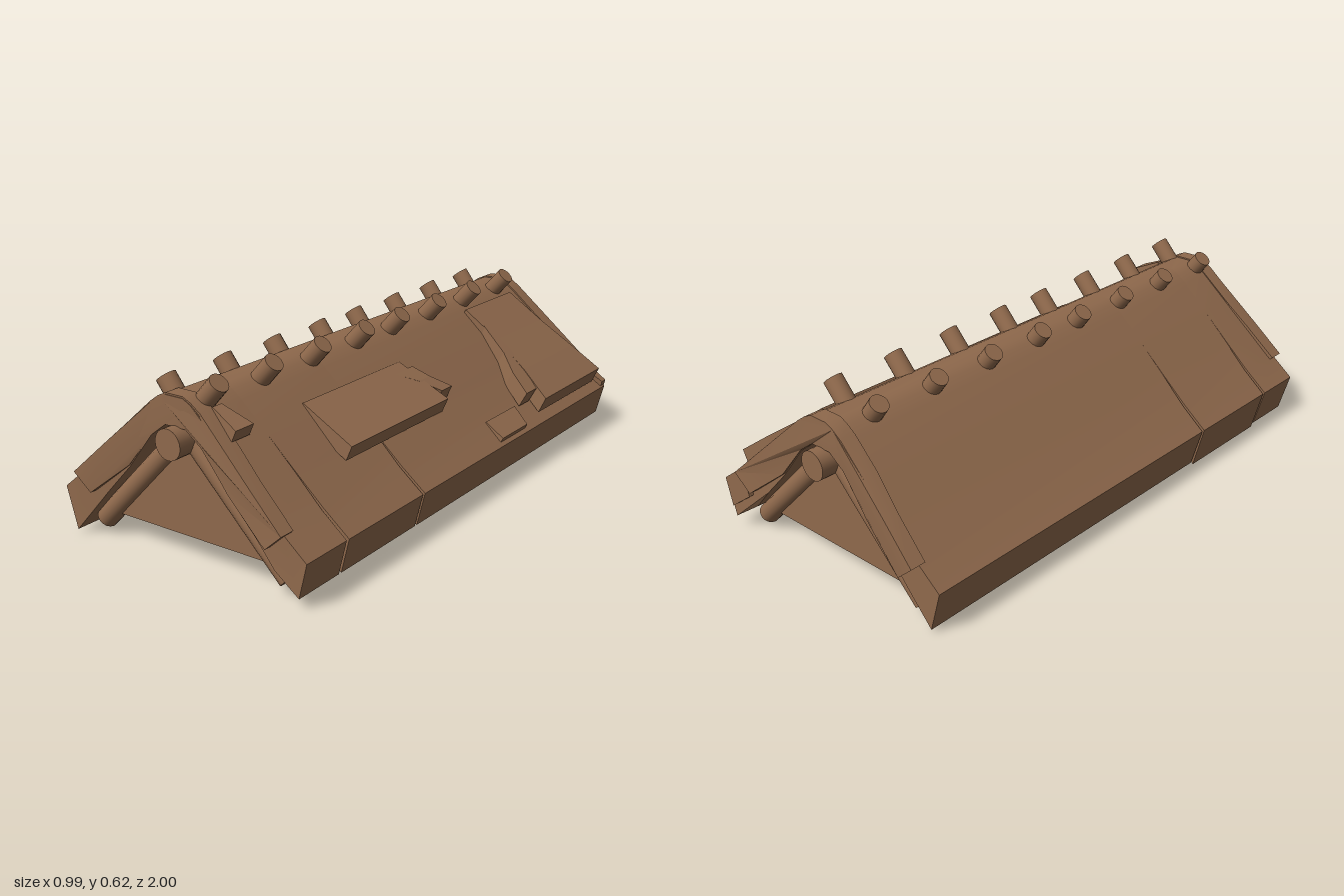
import * as THREE from 'three';
import { toCreasedNormals } from 'three/addons/utils/BufferGeometryUtils.js';

const wood = new THREE.MeshStandardMaterial({ color: 0x8f694c });
wood.name = 'brown wood';

export function createModel() {
  const group = new THREE.Group();
  group.name = 'woodenRoof';

  const add = (name, geometry) => {
    const mesh = new THREE.Mesh(geometry, wood);
    mesh.name = name;
    group.add(mesh);
    return mesh;
  };

  // Round bar between two points
  const bar = (name, a, b, radius, sides = 16) => {
    const start = new THREE.Vector3(...a), end = new THREE.Vector3(...b);
    const dir = end.clone().sub(start);
    const mesh = add(name, toCreasedNormals(
      new THREE.CylinderGeometry(radius, radius, dir.length(), sides), 0.7));
    mesh.position.copy(start).add(end).multiplyScalar(0.5);
    mesh.quaternion.setFromUnitVectors(new THREE.Vector3(0, 1, 0), dir.normalize());
  };

  // Outline in x/y pushed along z; warp(x, z, t) bends its two ends
  const slab = (name, points, z0, z1, warp) => {
    const shape = new THREE.Shape(points.map(p => new THREE.Vector2(...p)));
    const geo = new THREE.ExtrudeGeometry(shape, { depth: z1 - z0, bevelEnabled: false });
    geo.translate(0, 0, z0);
    const pos = geo.attributes.position;
    for (let i = 0; warp && i < pos.count; i++) {
      const z = pos.getZ(i);
      pos.setZ(i, warp(pos.getX(i), z, z > (z0 + z1) / 2));
    }
    add(name, toCreasedNormals(geo, 0.5));
  };

  // Roof shell in three lengths, with the joints opening towards the eaves
  const outer = [[0.40, 0.228], [0.30, 0.322], [0.2, 0.415], [0.1, 0.508], [0.065, 0.535], [0.035, 0.55]];
  const inner = [[0.04, 0.455], [0.1, 0.41], [0.2, 0.285], [0.3, 0.18], [0.37, 0.1]];
  const flip = list => list.map(([x, y]) => [-x, y]);
  const roofProfile = low => [
    [0.46, 0.038], [0.49, 0.155], ...outer,
    ...flip(outer).reverse(), [-0.49, 0.155], [-0.45, low],
    ...flip(inner).reverse(), ...inner,
  ];
  const cuts = [-0.96, 0.37, 0.78, 0.965];
  for (let i = 0; i < 3; i++) {
    slab('roofShell', roofProfile(i === 1 ? 0 : 0.012), cuts[i], cuts[i + 1], (x, z, far) => {
      const open = THREE.MathUtils.smoothstep(Math.abs(x), 0.25, 0.45);
      if (i === 0 && !far) return z - (x > 0.42 ? 0.025 : 0);
      if (i === 2 && far) return z + 0.01 * open;
      return z + (far ? -1 : 1) * 0.006 * open;
    });
  }

  // Arched end boards, flaring outward at their lower corners
  const boardOuter = [[0.42, 0.228], [0.3, 0.336], [0.2, 0.427], [0.1, 0.516], [0.065, 0.541], [0.035, 0.555]];
  const boardInner = [[0.04, 0.457], [0.1, 0.413], [0.2, 0.29], [0.355, 0.17]];
  const boardProfile = [...boardOuter, ...flip(boardOuter).reverse(),
    ...flip(boardInner).reverse(), ...boardInner];
  for (const s of [-1, 1]) {
    slab('endBoard', boardProfile, s * 0.935 - 0.028, s * 0.935 + 0.028,
      (x, z) => z + s * 0.037 * THREE.MathUtils.smoothstep(Math.abs(x), 0.12, 0.42));
  }

  // Ridge log, rafters and gable walls
  bar('ridgeLog', [0, 0.41, -1], [0, 0.41, 1], 0.05, 24);
  for (const z of [-0.91, 0.91]) {
    for (const s of [-1, 1]) bar('rafter', [s * 0.01, 0.42, z], [s * 0.378, 0.05, z], 0.036);
    slab('gableWall', [[-0.36, 0.088], [0.36, 0.088], [0.03, 0.43], [-0.03, 0.43]], z - 0.015, z + 0.015);
  }

  // Two rows of pegs leaning away from the ridge
  for (const z of [-0.805, -0.555, -0.305, -0.06, 0.155, 0.4, 0.645, 0.895]) {
    bar('ridgePeg', [0.03, 0.5, z], [0.117, 0.595, z], 0.033);
    bar('ridgePeg', [-0.04, 0.505, z], [-0.096, 0.578, z], 0.033);
  }

  // Loose plank: rows of [x, y, zMin, zMax] going down the slope, thickened by [dx, dy]
  const plank = (name, rows, [dx, dy]) => {
    const rings = rows.map(([x, y, a, b]) => [
      [x, y, a], [x, y, b], [x + dx, y + dy, b], [x + dx, y + dy, a]]);
    const v = [];
    const quad = (a, b, c, d) => v.push(...a, ...b, ...c, ...a, ...c, ...d);
    for (let i = 0; i < rings.length - 1; i++) {
      for (let j = 0; j < 4; j++) {
        const k = (j + 1) % 4;
        quad(rings[i][j], rings[i][k], rings[i + 1][k], rings[i + 1][j]);
      }
    }
    quad(...rings[rings.length - 1]);
    quad(...rings[0].slice().reverse());
    const geo = new THREE.BufferGeometry();
    geo.setAttribute('position', new THREE.Float32BufferAttribute(v, 3));
    geo.computeVertexNormals();
    add(name, geo);
  };

  plank('largePatch', [[0.11, 0.515, -0.86, -0.51], [0.25, 0.418, -0.87, -0.515],
    [0.38, 0.33, -0.89, -0.49], [0.495, 0.248, -0.91, -0.45]], [-0.027, -0.058]);
  plank('largePatchSplinter', [[0.19, 0.462, -0.53, -0.515], [0.3, 0.385, -0.53, -0.475],
    [0.37, 0.335, -0.5, -0.42], [0.45, 0.277, -0.46, -0.385]], [-0.03, -0.055]);
  plank('middlePatch', [[0.165, 0.452, 0.03, 0.57], [0.36, 0.352, 0.02, 0.58]], [-0.022, -0.05]);
  plank('middlePatchSplinter', [[0.2, 0.434, 0.0, 0.11], [0.26, 0.404, -0.02, 0.05],
    [0.32, 0.366, -0.07, -0.005]], [-0.02, -0.045]);
  plank('eavePatch', [[0.41, 0.225, -0.37, -0.16], [0.485, 0.182, -0.33, -0.15]], [-0.012, -0.025]);
  plank('frontPatch', [[0.1, 0.522, 0.87, 0.91], [0.205, 0.475, 0.85, 0.93]], [-0.018, -0.038]);

  // Broken plank end under the back eave corner
  plank('backEavePlank', [[0.4, 0.245, -0.985, -0.93], [0.49, 0.178, -0.992, -0.96]], [-0.025, -0.1]);

  return group;
}
